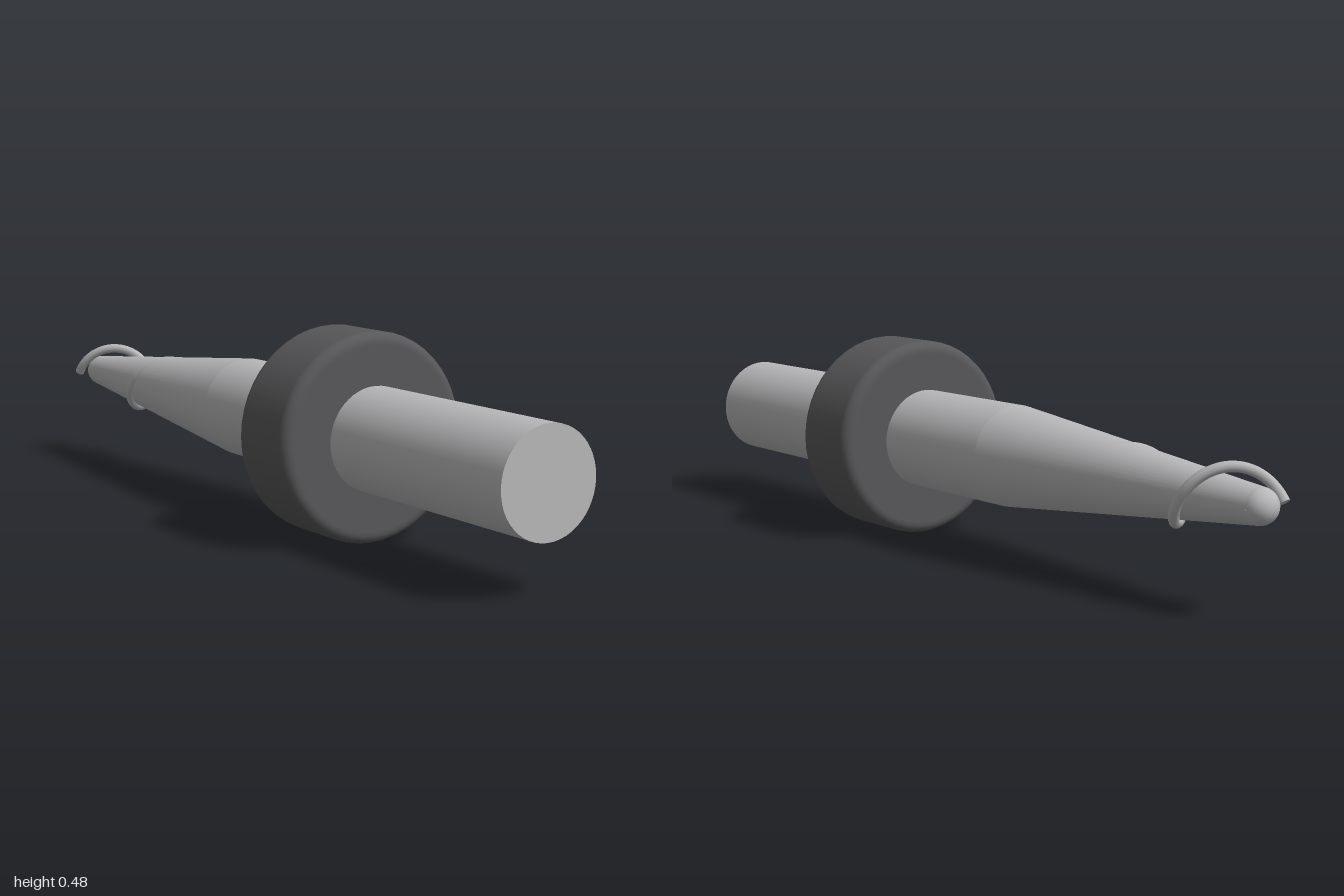
import * as THREE from 'three';

export function createModel() {
  const group = new THREE.Group();
  const axisY = 0.24;
  const steel = new THREE.MeshStandardMaterial({ color: 0xb8b8ba });
  steel.name = 'light grey metal';
  const rubber = new THREE.MeshStandardMaterial({ color: 0x58585a });
  rubber.name = 'dark grey collar';

  const add = (name, geometry, material) => {
    const mesh = new THREE.Mesh(geometry, material);
    mesh.name = name;
    group.add(mesh);
  };
  // Turned parts: the y axis of the geometry is laid along z
  const lay = (geometry, z) => geometry.rotateX(Math.PI / 2).translate(0, axisY, z);

  // Straight shaft, tapered nose and rounded tip
  add('shaft', lay(new THREE.CylinderGeometry(0.12, 0.12, 1.16, 48), 0.42), steel);
  add('taperedNose', lay(new THREE.CylinderGeometry(0.12, 0.04, 0.8, 48), -0.56), steel);
  add('tip', lay(new THREE.SphereGeometry(0.04, 32, 16), -0.96), steel);

  // Collar with rounded rims
  const R = 0.24, half = 0.1, round = 0.025;
  const profile = [new THREE.Vector2(0.115, -half), new THREE.Vector2(R - round - 0.004, -half)];
  for (const side of [-1, 1]) {
    for (let i = 0; i <= 6; i++) {
      const a = (side < 0 ? i - 6 : i) / 6 * Math.PI / 2;
      profile.push(new THREE.Vector2(
        R - round + round * Math.cos(a),
        side * (half - round) + round * Math.sin(a)));
    }
  }
  profile.push(new THREE.Vector2(R - round - 0.004, half), new THREE.Vector2(0.115, half));
  add('collar', lay(new THREE.LatheGeometry(profile, 48), 0.3), rubber);

  // Wire coil of constant radius that runs into the widening nose
  const points = [];
  const turns = 1.35, steps = 44;
  for (let i = 0; i <= steps; i++) {
    const t = (i / steps) * turns;
    const a = Math.PI - t * Math.PI * 2;
    points.push(new THREE.Vector3(
      0.07 * Math.cos(a), axisY + 0.07 * Math.sin(a), -0.96 + 0.32 * t));
  }
  const path = new THREE.CatmullRomCurve3(points);
  add('wireCoil', new THREE.TubeGeometry(path, 100, 0.012, 10, false), steel);

  // Cap closing the free end of the wire
  const cap = new THREE.CircleGeometry(0.012, 10);
  cap.applyQuaternion(new THREE.Quaternion().setFromUnitVectors(
    new THREE.Vector3(0, 0, 1), path.getTangent(0).negate()));
  cap.translate(points[0].x, points[0].y, points[0].z);
  add('wireEnd', cap, steel);

  return group;
}
